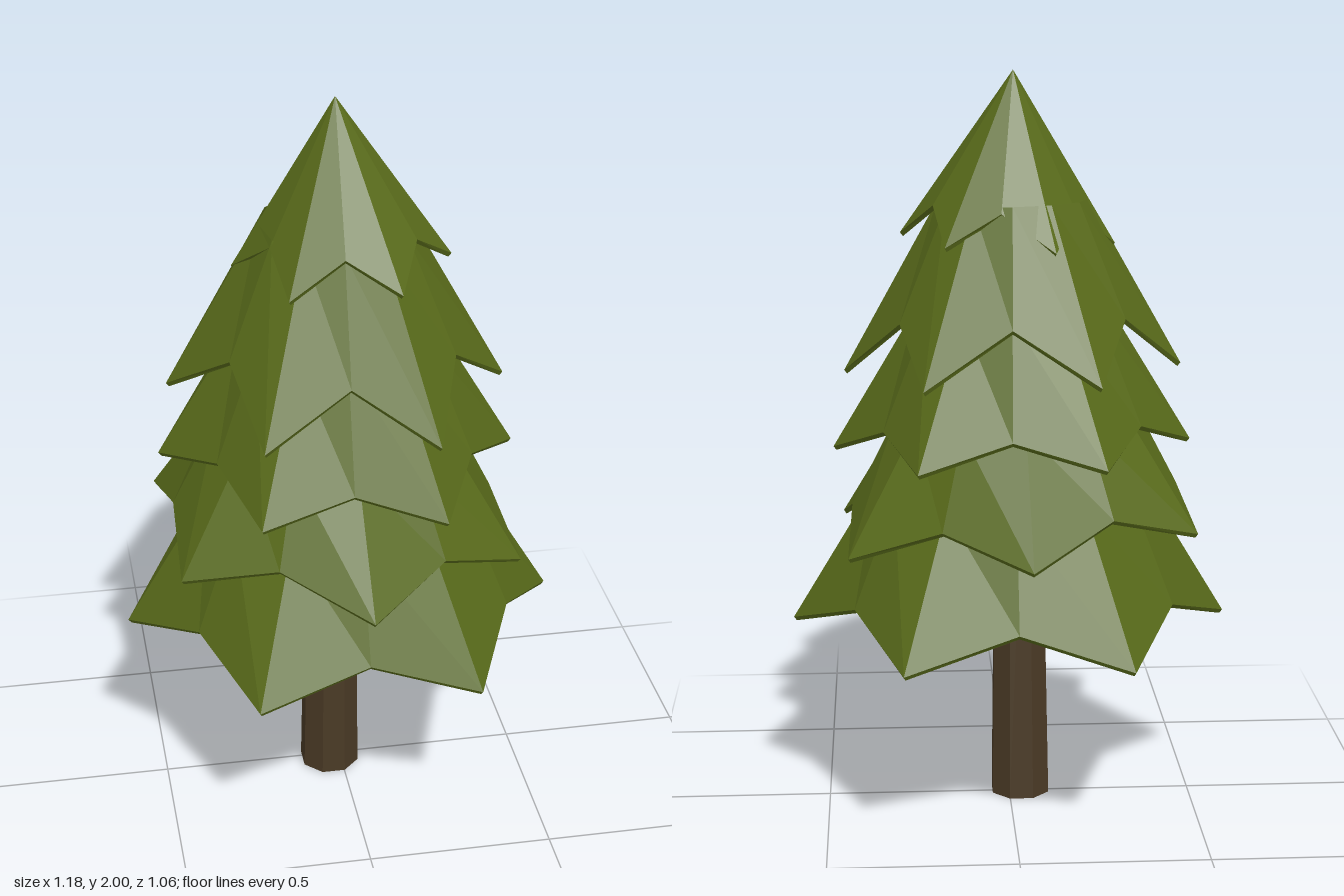
import * as THREE from 'three';

const leafMaterial = new THREE.MeshStandardMaterial({ color: 0x586a1a, flatShading: true, side: THREE.DoubleSide });
const barkMaterial = new THREE.MeshStandardMaterial({ color: 0x4a3a25, flatShading: true });

// Join closed rings of points, from the first ring to the last
function loft(rings) {
  const count = rings[0].length;
  const position = rings.flat().flatMap((p) => p.toArray());
  const index = [];
  for (let k = 0; k < rings.length - 1; k++) {
    for (let i = 0; i < count; i++) {
      const j = (i + 1) % count;
      const a = k * count, b = a + count;
      index.push(b + i, a + i, a + j, b + i, a + j, b + j);
    }
  }
  const geometry = new THREE.BufferGeometry();
  geometry.setAttribute('position', new THREE.Float32BufferAttribute(position, 3));
  geometry.setIndex(index);
  geometry.computeVertexNormals();
  return geometry;
}

// A hollow six-pointed skirt of foliage with a thin rim
function foliageTier({ centre, top, tip, valley, turn, tilt, apex = centre }) {
  const ring = (c, radiusAt, heightAt, lean = 1) => Array.from({ length: 12 }, (_, i) => {
    const a = THREE.MathUtils.degToRad(turn + i * 30);
    const r = radiusAt(i), x = Math.cos(a) * r, z = Math.sin(a) * r;
    return new THREE.Vector3(c[0] + x, heightAt(i) + lean * (tilt[0] * x + tilt[1] * z), c[1] + z);
  });
  const edge = (i) => (i % 2 ? valley : tip);
  return loft([
    ring(apex, () => top[0], () => top[1]),
    ring(centre, (i) => edge(i)[0], (i) => edge(i)[1]),
    ring(centre, (i) => edge(i)[0] - 0.008, (i) => edge(i)[1] - 0.01),
    ring(apex, () => Math.max(top[0] - 0.012, 0), () => top[1] - 0.03),
  ]);
}

// top, tip and valley are [radius, height]
const tiers = [
  { centre: [0, 0], top: [0.36, 0.9], tip: [0.59, 0.52], valley: [0.485, 0.615], turn: 0, tilt: [0, 0] },
  { centre: [-0.015, -0.003], top: [0.32, 1.1], tip: [0.53, 0.782], valley: [0.44, 0.865], turn: 28, tilt: [-0.05, -0.02] },
  { centre: [-0.006, -0.011], top: [0.255, 1.38], tip: [0.48, 1.007], valley: [0.388, 1.08], turn: 2.7, tilt: [-0.02, -0.045] },
  { centre: [-0.008, -0.006], top: [0.2, 1.66], tip: [0.45, 1.215], valley: [0.338, 1.36], turn: 3, tilt: [-0.02, -0.045] },
  { centre: [0.005, 0.006], apex: [-0.01, 0], top: [0, 2], tip: [0.285, 1.56], valley: [0.215, 1.65], turn: 7, tilt: [0.04, 0] },
];

// Tapered limb between two points
function limb(from, to, r0, r1, sides) {
  const a = new THREE.Vector3(...from), b = new THREE.Vector3(...to);
  const d = b.clone().sub(a);
  const geometry = new THREE.CylinderGeometry(r1, r0, d.length(), sides);
  const turn = new THREE.Quaternion().setFromUnitVectors(new THREE.Vector3(0, 1, 0), d.normalize());
  geometry.applyQuaternion(turn);
  geometry.translate(...a.add(b).multiplyScalar(0.5).toArray());
  return geometry;
}

export function createModel() {
  const group = new THREE.Group();
  const add = (name, geometry, material) => {
    const mesh = new THREE.Mesh(geometry, material);
    mesh.name = name;
    group.add(mesh);
  };

  // Foliage, lowest skirt first
  tiers.forEach((tier, i) => add(`foliageTier${i + 1}`, foliageTier(tier), leafMaterial));

  // Trunk: slightly leaning, with a level foot
  const trunk = new THREE.CylinderGeometry(0.062, 0.084, 1.3, 8, 1).rotateY(Math.PI / 8).translate(0, 0.65, 0);
  const p = trunk.attributes.position;
  for (let i = 0; i < p.count; i++) {
    const y = p.getY(i);
    p.setXYZ(i, p.getX(i) - 0.031 + y * 0.005, y, p.getZ(i) + 0.013 + y * 0.012);
  }
  trunk.computeVertexNormals();
  add('trunk', trunk, barkMaterial);

  // Side branch reaching up into the lowest skirt
  add('branch', limb([-0.05, 0.395, 0.06], [-0.118, 0.69, 0.27], 0.043, 0.032, 8), barkMaterial);
  return group;
}
